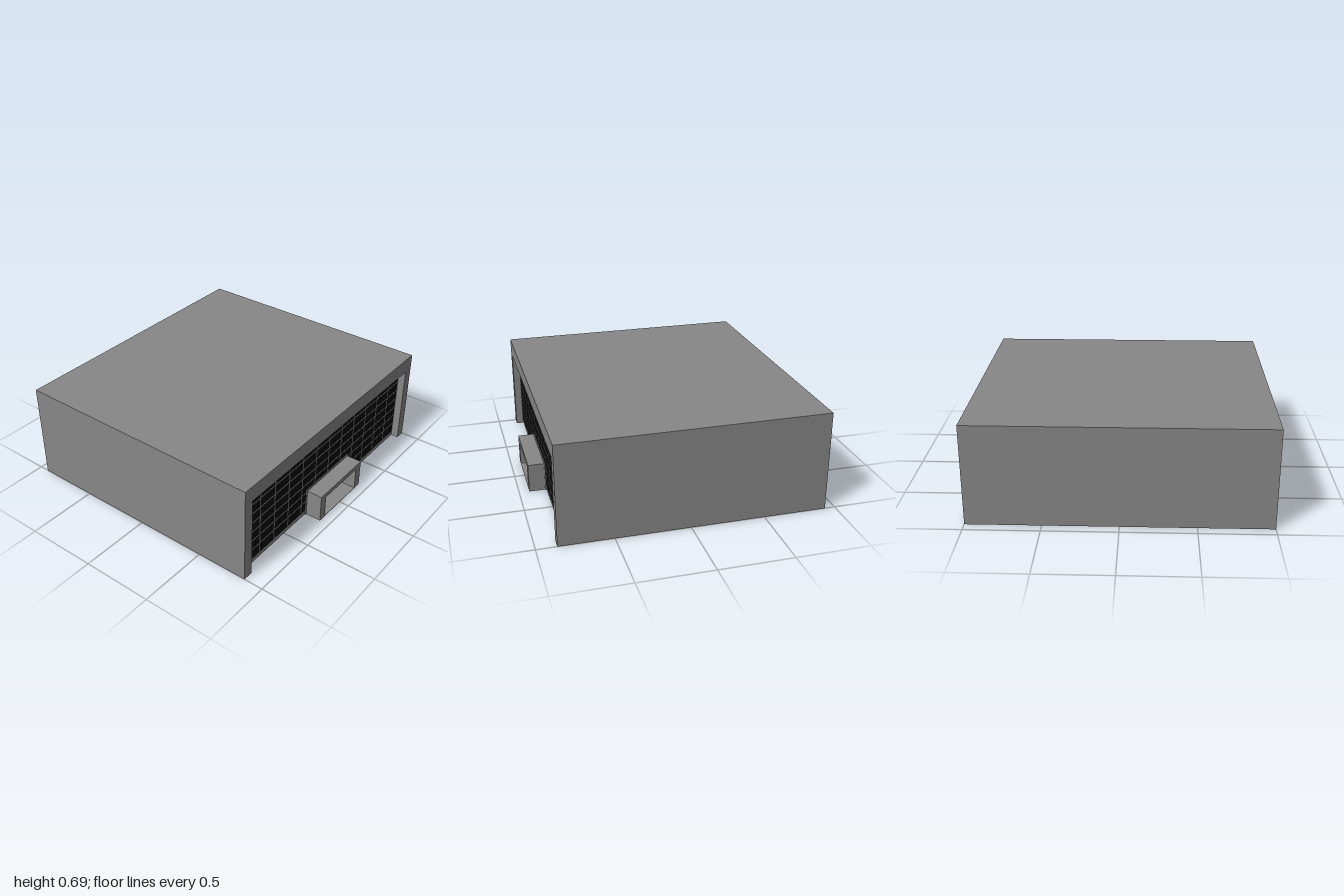
import * as THREE from 'three';

const grey = new THREE.MeshStandardMaterial({ color: 0x878787 });
const black = new THREE.MeshStandardMaterial({ color: 0x080808 });

export function createModel() {
  const model = new THREE.Group();

  const add = (name, geometry, material = grey, parent = model) => {
    const mesh = new THREE.Mesh(geometry, material);
    mesh.name = name;
    parent.add(mesh);
  };

  // Box given by its limits on each axis
  const box = (name, x0, x1, y0, y1, z0, z1, material, parent) => {
    const geometry = new THREE.BoxGeometry(x1 - x0, y1 - y0, z1 - z0);
    geometry.translate((x0 + x1) / 2, (y0 + y1) / 2, (z0 + z1) / 2);
    add(name, geometry, material, parent);
  };

  // Arch-like slab: a rectangle with a rectangular opening cut up from its lower edge
  const portal = (name, halfW, bottom, top, openHalfW, openTop, z0, z1, material) => {
    const shape = new THREE.Shape([
      [-halfW, bottom], [-openHalfW, bottom], [-openHalfW, openTop], [openHalfW, openTop],
      [openHalfW, bottom], [halfW, bottom], [halfW, top], [-halfW, top],
    ].map(([x, y]) => new THREE.Vector2(x, y)));
    const geometry = new THREE.ExtrudeGeometry(shape, { depth: z1 - z0, bevelEnabled: false });
    geometry.translate(0, 0, z0);
    add(name, geometry, material);
  };

  const back = -0.93, front = 0.865, wall = 0.812, porchFront = 0.93;
  const bayW = 0.927, bayTop = 0.58, doorW = 0.19, doorTop = 0.165;
  const hallBack = 0.3, hallFront = 0.77, hallW = 0.6;

  // Main block, with the glazed bay set back between the side piers
  portal('buildingShell', 1, 0, 0.69, bayW, bayTop, back, front);
  box('buildingCore', -bayW, bayW, 0, bayTop, back, hallBack);
  portal('bayWall', bayW, 0, bayTop, doorW, doorTop, hallFront, wall);

  // Hall behind the entrance, with a framed door on its back wall
  portal('hallWalls', bayW, 0, bayTop, hallW, 0.3, hallBack, hallFront);
  box('hallFloor', -hallW, hallW, 0, 0.004, hallBack, hallFront);
  box('doorFrame', -0.163, 0.163, 0, 0.17, hallBack, hallBack + 0.005);
  box('door', -0.105, 0.105, 0.01, 0.142, hallBack, hallBack + 0.01);

  // Dark glazing, cut away around the entrance
  portal('glazing', 0.92, 0.035, 0.572, 0.255, 0.21, wall, wall + 0.002, black);

  // Glazing bars
  const bars = new THREE.Group();
  bars.name = 'glazingBars';
  model.add(bars);
  const t = 0.0035, barFront = wall + 0.005;
  for (let i = -5; i <= 5; i++) {
    const x = i * 0.1555;
    const y0 = Math.abs(x) < 0.255 ? 0.2 : 0.035;
    box('verticalBar', x - t, x + t, y0, 0.572, wall, barFront, grey, bars);
  }
  for (let j = 0; j < 6; j++) {
    const y = 0.115 + j * 0.0735;
    const spans = y < 0.21 ? [[-0.92, -0.25], [0.25, 0.92]] : [[-0.92, 0.92]];
    for (const [x0, x1] of spans) {
      box('horizontalBar', x0, x1, y - t, y + t, wall, barFront, grey, bars);
    }
  }

  // Projecting entrance porch with its surround and floor
  portal('porchSurround', 0.258, 0, 0.21, doorW, doorTop, wall, wall + 0.008);
  portal('porch', 0.25, 0, 0.2, doorW, doorTop, wall, porchFront);
  box('porchFloor', -doorW, doorW, 0, 0.004, hallFront, porchFront);

  return model;
}
